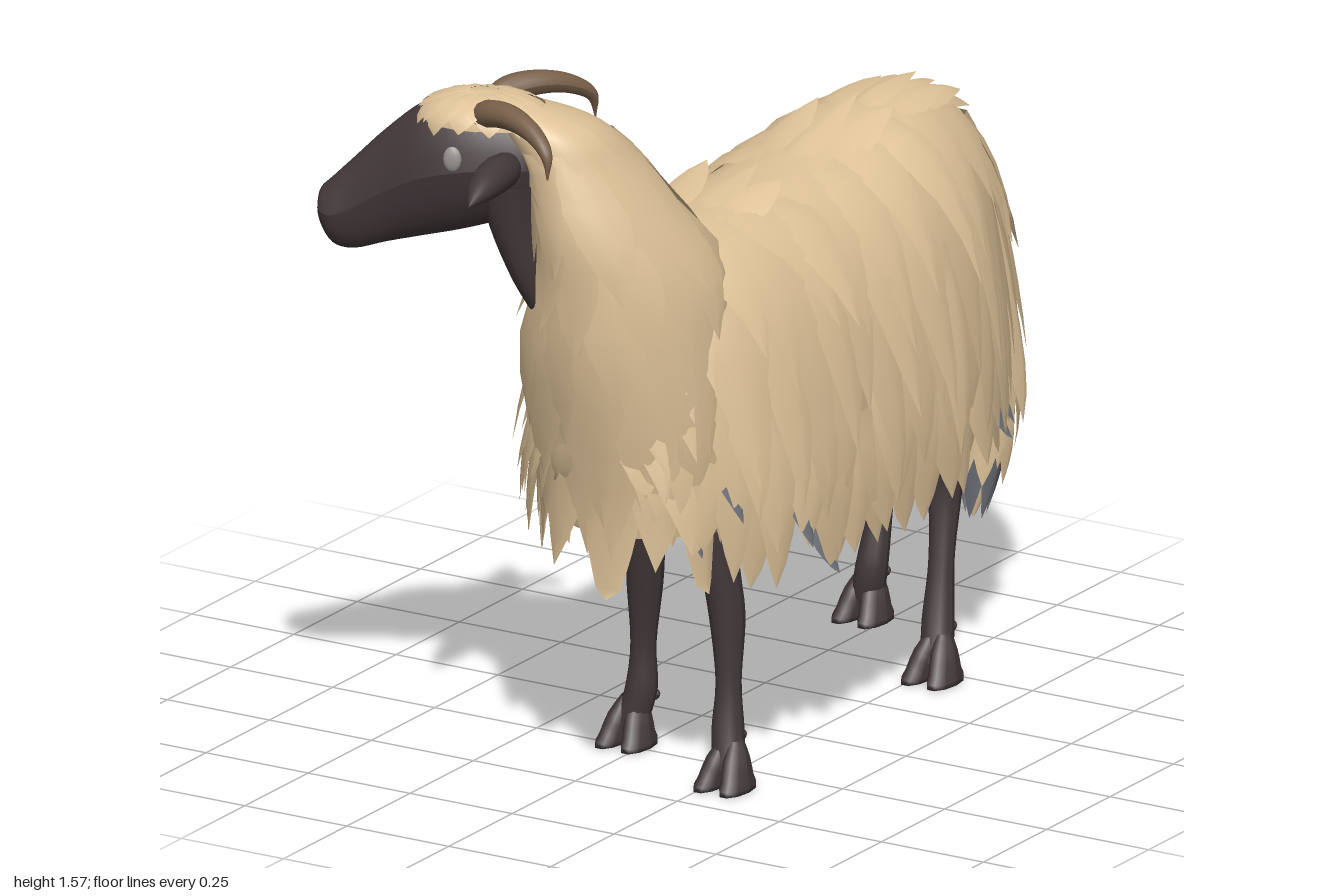
import * as THREE from 'three';
import { mergeGeometries } from 'three/addons/utils/BufferGeometryUtils.js';

const mat = (name, color) => Object.assign(
  new THREE.MeshStandardMaterial({ color, side: THREE.DoubleSide }), { name });

let seed = 7;
const rnd = () => (seed = (seed * 16807) % 2147483647) / 2147483647;
const jit = (r) => (rnd() * 2 - 1) * r;

// Smooth interpolation through the rows of a table
function at(T, t) {
  const n = T.length - 1;
  t = Math.min(Math.max(t, 0), n);
  const i = Math.min(Math.floor(t), n - 1), f = t - i;
  const p = T[Math.max(i - 1, 0)], q = T[i], r = T[i + 1], s = T[Math.min(i + 2, n)];
  return q.map((_, k) => {
    const c1 = r[k] - p[k];
    const c2 = 2 * p[k] - 5 * q[k] + 4 * r[k] - s[k];
    const c3 = 3 * (q[k] - r[k]) + s[k] - p[k];
    return q[k] + 0.5 * f * (c1 + f * (c2 + f * c3));
  });
}

// Surface from a function f(a, b) returning [x, y, z]
function loft(f, a0, a1, na, b0, b1, nb) {
  const pos = [], idx = [];
  for (let i = 0; i <= na; i++) for (let j = 0; j <= nb; j++) {
    pos.push(...f(a0 + (a1 - a0) * i / na, b0 + (b1 - b0) * j / nb));
    if (i < na && j < nb) {
      const p = i * (nb + 1) + j, q = p + nb + 1;
      idx.push(p, p + 1, q, p + 1, q + 1, q);
    }
  }
  const g = new THREE.BufferGeometry();
  g.setAttribute('position', new THREE.Float32BufferAttribute(pos, 3));
  g.setIndex(idx);
  g.computeVertexNormals();
  return g;
}

// Pointed lock of wool lying on surface f(a, b, offset) and lifting at its tip
const lock = (f, a0, a1, b0, hw, lift, drift = 0) => loft((s, k) => {
  const w = s < 0.35 ? 1 : Math.pow((1 - s) / 0.65, 0.8);
  return f(a0 + (a1 - a0) * s, b0 + k * hw * w + drift * s,
    lift * (s * 1.1 - 0.15 + (1 - Math.abs(k)) * 0.35 * (1 - s)));
}, 0, 1, 5, -1, 1, 2);

// Upright tube with rows [x, y, z, radiusX, radiusZ], listed top to bottom
const tube = (T) => (a, b, off = 0) => {
  const [x, y, z, rx, rz] = at(T, a), t = b * Math.PI * 2;
  return [x + (Math.max(rx, 0) + off) * Math.cos(t), y, z + (Math.max(rz, 0) + off) * Math.sin(t)];
};
const tubeGeo = (T, steps = 4, sides = 14) => loft(tube(T), 0, T.length - 1, (T.length - 1) * steps, 0, 1, sides);

// Trunk rows [z, halfWidth, top, bottom], rump to chest
const TRUNK = [[-0.85, 0.03, 1.04, 0.85], [-0.79, 0.1, 1.12, 0.66], [-0.65, 0.2, 1.21, 0.55],
  [-0.45, 0.26, 1.24, 0.54], [-0.25, 0.275, 1.215, 0.54], [-0.05, 0.28, 1.2, 0.53],
  [0.15, 0.28, 1.2, 0.53], [0.35, 0.255, 1.2, 0.54], [0.5, 0.19, 1.15, 0.6],
  [0.6, 0.12, 1.0, 0.68], [0.64, 0.04, 0.9, 0.78]];
const CORE = [[0, 1], [0.3, 0.985], [0.6, 0.9], [0.85, 0.72], [0.95, 0.5], [0.96, 0.25], [0.82, 0.05], [0.4, 0], [0, 0]];
const SHEET = [[0, 1], [0.32, 0.985], [0.62, 0.9], [0.86, 0.72], [0.97, 0.45], [1, 0.2], [0.94, 0], [0.86, -0.15]];
function trunk(u, v, off = 0, profile = CORE) {
  const [z, w, top, bottom] = at(TRUNK, u);
  const [px, py] = at(profile, Math.abs(v) * (profile.length - 1));
  return [0.11 + Math.sign(v) * px * (w + off), bottom + (top - bottom) * py + off * 0.4 * py, z];
}

const NECK = [[-0.03, 1.53, 0.67, 0.05, 0.06], [0.02, 1.48, 0.625, 0.1, 0.11], [0.07, 1.4, 0.585, 0.105, 0.145],
  [0.11, 1.28, 0.55, 0.13, 0.185], [0.125, 1.15, 0.49, 0.17, 0.225], [0.11, 1.0, 0.48, 0.2, 0.21],
  [0.11, 0.8, 0.47, 0.2, 0.16], [0.11, 0.64, 0.45, 0.17, 0.13], [0.11, 0.45, 0.44, 0.14, 0.11]];
const TAIL = [[0.11, 1.13, -0.74, 0.07, 0.06], [0.11, 0.95, -0.83, 0.085, 0.06], [0.11, 0.75, -0.885, 0.085, 0.07],
  [0.11, 0.55, -0.915, 0.085, 0.065], [0.11, 0.4, -0.92, 0.07, 0.055], [0.11, 0.28, -0.91, 0.035, 0.03], [0.11, 0.2, -0.895, 0.002, 0.002]];

// Leg rows [x, y, z, radiusX, radiusZ]
const LEGS = {
  frontLeftLeg: [[0.23, 0.7, 0.32, 0.06, 0.08], [0.245, 0.5, 0.33, 0.042, 0.05], [0.26, 0.36, 0.32, 0.038, 0.042],
    [0.27, 0.22, 0.33, 0.027, 0.029], [0.275, 0.12, 0.34, 0.034, 0.036], [0.29, 0.04, 0.36, 0.035, 0.035]],
  frontRightLeg: [[0.02, 0.7, 0.25, 0.06, 0.08], [0.015, 0.5, 0.245, 0.042, 0.05], [0, 0.36, 0.225, 0.038, 0.042],
    [-0.01, 0.22, 0.215, 0.027, 0.029], [-0.015, 0.12, 0.215, 0.034, 0.036], [-0.035, 0.04, 0.225, 0.035, 0.035]],
  rearLeftLeg: [[0.22, 0.7, -0.49, 0.07, 0.12], [0.24, 0.55, -0.525, 0.05, 0.07], [0.25, 0.41, -0.555, 0.038, 0.043],
    [0.265, 0.25, -0.52, 0.027, 0.029], [0.275, 0.12, -0.49, 0.034, 0.036], [0.29, 0.04, -0.46, 0.035, 0.035]],
  rearRightLeg: [[0.01, 0.7, -0.61, 0.07, 0.11], [-0.01, 0.55, -0.67, 0.05, 0.07], [-0.02, 0.41, -0.735, 0.038, 0.043],
    [-0.025, 0.25, -0.745, 0.027, 0.029], [-0.03, 0.12, -0.72, 0.034, 0.036], [-0.045, 0.04, -0.725, 0.035, 0.035]],
};

export function createModel() {
  const model = new THREE.Group();
  const fleece = mat('fleece cream', 0xdec298), skin = mat('dark skin', 0x43383a);
  const horn = mat('horn brown', 0x78604a), pink = mat('udder pink', 0xb86e68);
  const eyeGrey = mat('eye grey', 0x9a9692), tipGrey = mat('lock tip grey', 0x696c74);
  const add = (parent, name, geo, material) => {
    const m = new THREE.Mesh(geo, material);
    m.name = name;
    parent.add(m);
    return m;
  };

  // Trunk with shingled rows of uneven locks on both sides, some with grey tips
  add(model, 'trunk', loft(trunk, 0, 10, 40, 1, -1, 40), fleece);
  const rows = [[0.12, 0.52], [0.28, 0.7], [0.45, 0.84], [0.6, 0.94], [0.66, 0.99]];
  const trunkLocks = [], trunkTips = [];
  for (const s of [-1, 1]) {
    const side = (a, b, off) => trunk(s * b, s * a, off, SHEET);
    rows.forEach(([v0, v1], r) => {
      for (let u = 0.5 + (r % 2) * 0.28; u < 9.3; u += 0.56) {
        const start = v0 + jit(0.05), end = Math.min(v1 + jit(0.07), 1), b = s * (u + jit(0.14));
        const lift = 0.055 + jit(0.025), drift = s * jit(0.28);
        trunkLocks.push(lock(side, start, end, b, 0.42 + jit(0.08), lift, drift));
        if (r > 1 && rnd() < 0.08) trunkTips.push(lock(side, end - 0.13, end, b + drift * 0.7, 0.16, lift * 1.25, drift * 0.3));
      }
    });
  }
  // Tufts along the back, swept to the rear
  for (const u of [2, 2.5, 3.1, 4.4, 6.4]) for (const v of [-0.1, 0.02, 0.13])
    trunkLocks.push(lock((a, b, off) => trunk(a, b, off, SHEET), u + jit(0.2), u - 1.1 + jit(0.2), v, 0.07, 0.08 + jit(0.03)));
  add(model, 'trunkLocks', mergeGeometries(trunkLocks), fleece);
  add(model, 'trunkTips', mergeGeometries(trunkTips), tipGrey);

  // Neck and chest
  add(model, 'neck', loft(tube(NECK), 0, 7.3, 32, 0, 1, 28), fleece);
  const neckLocks = [];
  [[1.6, 3.8], [2.7, 5], [3.7, 6], [4.7, 6.9], [5.4, 7.6], [6, 7.9]].forEach(([a0, a1], r) => {
    for (let i = 0; i < 11; i++)
      neckLocks.push(lock(tube(NECK), a0 + jit(0.25), a1 + jit(0.4), (i + (r % 2) / 2 + jit(0.2)) / 11,
        0.065, 0.016 + r * 0.008 + jit(0.008), jit(0.03)));
  });
  add(model, 'neckLocks', mergeGeometries(neckLocks), fleece);
  add(model, 'throat', tubeGeo([[-0.04, 1.37, 0.69, 0.07, 0.07], [-0.035, 1.27, 0.68, 0.055, 0.06],
    [-0.01, 1.15, 0.665, 0.035, 0.04], [0.01, 1.06, 0.65, 0.01, 0.01]]), skin);

  // Tail with grey tips
  add(model, 'tail', tubeGeo(TAIL, 4, 18), fleece);
  const tailLocks = [], tailTips = [];
  for (let r = 0; r < 5; r++) for (let i = 0; i < 7; i++)
    tailLocks.push(lock(tube(TAIL), r * 0.85 + jit(0.2), r * 0.85 + 1.9 + jit(0.3), (i + (r % 2) / 2) / 7, 0.09, 0.028 + jit(0.008)));
  for (let i = 0; i < 6; i++) tailTips.push(lock(tube(TAIL), 4.2, 5.8 + jit(0.2), (i + 0.3) / 6, 0.1, 0.025));
  add(model, 'tailLocks', mergeGeometries(tailLocks), fleece);
  add(model, 'tailTips', mergeGeometries(tailTips), tipGrey);

  // Legs with cloven hooves
  for (const [name, T] of Object.entries(LEGS)) {
    const leg = new THREE.Group();
    leg.name = name;
    model.add(leg);
    add(leg, 'shank', tubeGeo(T), skin);
    const [x, , z] = T[5];
    for (const s of [-1, 1]) {
      add(leg, 'toe', tubeGeo([[x + s * 0.012, 0.1, z - 0.01, 0.014, 0.018], [x + s * 0.02, 0.065, z + 0.003, 0.025, 0.036],
        [x + s * 0.028, 0.025, z + 0.012, 0.027, 0.05], [x + s * 0.032, 0, z + 0.018, 0.028, 0.06],
        [x + s * 0.032, 0, z + 0.018, 0.001, 0.001]], 2, 10), skin);
      add(leg, 'dewclaw', new THREE.SphereGeometry(0.012, 8, 6), skin).position.set(T[4][0] + s * 0.016, 0.1, T[4][2] - 0.027);
    }
  }

  // Udder
  const udder = add(model, 'udder', new THREE.SphereGeometry(1, 20, 14), pink);
  udder.scale.set(0.1, 0.1, 0.155);
  udder.position.set(0.12, 0.55, -0.55);
  for (const x of [0.075, 0.145])
    add(model, 'teat', new THREE.CapsuleGeometry(0.017, 0.035, 4, 10), pink).position.set(x, 0.442, -0.55);

  // Head, turned to its right
  const head = new THREE.Group();
  head.name = 'head';
  head.position.set(-0.075, 1.43, 0.68);
  head.rotation.y = -1.25;
  model.add(head);
  // Skull rows [forward, low, high, halfWidth]
  const SKULL = [[-0.11, -0.08, 0.03, 0.01], [-0.08, -0.13, 0.08, 0.065], [0, -0.16, 0.11, 0.085], [0.08, -0.185, 0.115, 0.09],
    [0.16, -0.205, 0.09, 0.08], [0.24, -0.225, 0.025, 0.06], [0.31, -0.245, -0.045, 0.05], [0.355, -0.235, -0.09, 0.047],
    [0.38, -0.195, -0.115, 0.034], [0.387, -0.165, -0.14, 0.004]];
  add(head, 'skull', loft((a, b) => {
    const [f, lo, hi, w] = at(SKULL, a), t = b * Math.PI * 2;
    return [w * Math.cos(t) * (1 - 0.2 * Math.abs(Math.sin(t))), (lo + hi) / 2 + (hi - lo) / 2 * Math.sin(t), f];
  }, 0, 9, 36, 0, 1, 24), skin);

  // Woolly cap
  const cap = (a, b, off = 0) => {
    const p = a * Math.PI / 2, t = b * Math.PI * 2;
    return [(0.09 + off) * Math.sin(p) * Math.cos(t), 0.06 + (0.065 + off) * Math.cos(p), 0.03 + (0.135 + off) * Math.sin(p) * Math.sin(t)];
  };
  add(head, 'cap', loft(cap, 0, 1, 8, 0, 1, 20), fleece);
  const capLocks = [];
  for (let r = 0; r < 2; r++) for (let i = 0; i < 14; i++)
    capLocks.push(lock(cap, 0.15 + r * 0.3, 0.85 + r * 0.25 + jit(0.12), (i + r / 2) / 14, 0.05, 0.016));
  add(head, 'capLocks', mergeGeometries(capLocks), fleece);

  // Ears, horns and eyes; rows are [out, up, forward, radius...]
  const EAR = [[0.06, -0.01, -0.035, 0.018, 0.02], [0.12, -0.005, -0.04, 0.036, 0.036], [0.19, 0, -0.035, 0.04, 0.038],
    [0.27, -0.005, -0.025, 0.028, 0.026], [0.335, -0.02, -0.015, 0.001, 0.001]];
  const HORN = [[0.04, 0.07, 0.03, 0.032], [0.08, 0.1, 0.0, 0.03], [0.125, 0.108, -0.06, 0.026], [0.17, 0.092, -0.115, 0.02],
    [0.205, 0.06, -0.15, 0.013], [0.215, 0.01, -0.155, 0.002]];
  const hornPath = new THREE.CatmullRomCurve3(HORN.map(([x, y, z]) => new THREE.Vector3(x, y, z)));
  const hornGeo = loft((a, b) => {
    const c = hornPath.getPoint(a / 5), d = hornPath.getTangent(a / 5), r = at(HORN, a)[3], t = b * Math.PI * 2;
    const side = new THREE.Vector3(d.z, 0, -d.x).normalize(), up = d.clone().cross(side);
    return c.addScaledVector(side, r * Math.cos(t)).addScaledVector(up, r * Math.sin(t)).toArray();
  }, 0, 5, 24, 0, 1, 12);
  const earGeo = loft((a, b) => {
    const [x, y, f, rf, ry] = at(EAR, a), t = b * Math.PI * 2;
    return [x, y - ry * Math.sin(t), f + rf * Math.cos(t)];
  }, 0, 4, 14, 0.1, 0.9, 14);
  for (const s of [1, -1]) {
    const side = s > 0 ? 'left' : 'right';
    add(head, side + 'Ear', earGeo, skin).scale.x = s;
    add(head, side + 'Horn', hornGeo, horn).scale.x = s;
    const eye = add(head, side + 'Eye', new THREE.SphereGeometry(1, 12, 8), eyeGrey);
    eye.scale.set(0.01, 0.028, 0.02);
    eye.position.set(s * 0.085, -0.005, 0.08);
  }
  return model;
}
